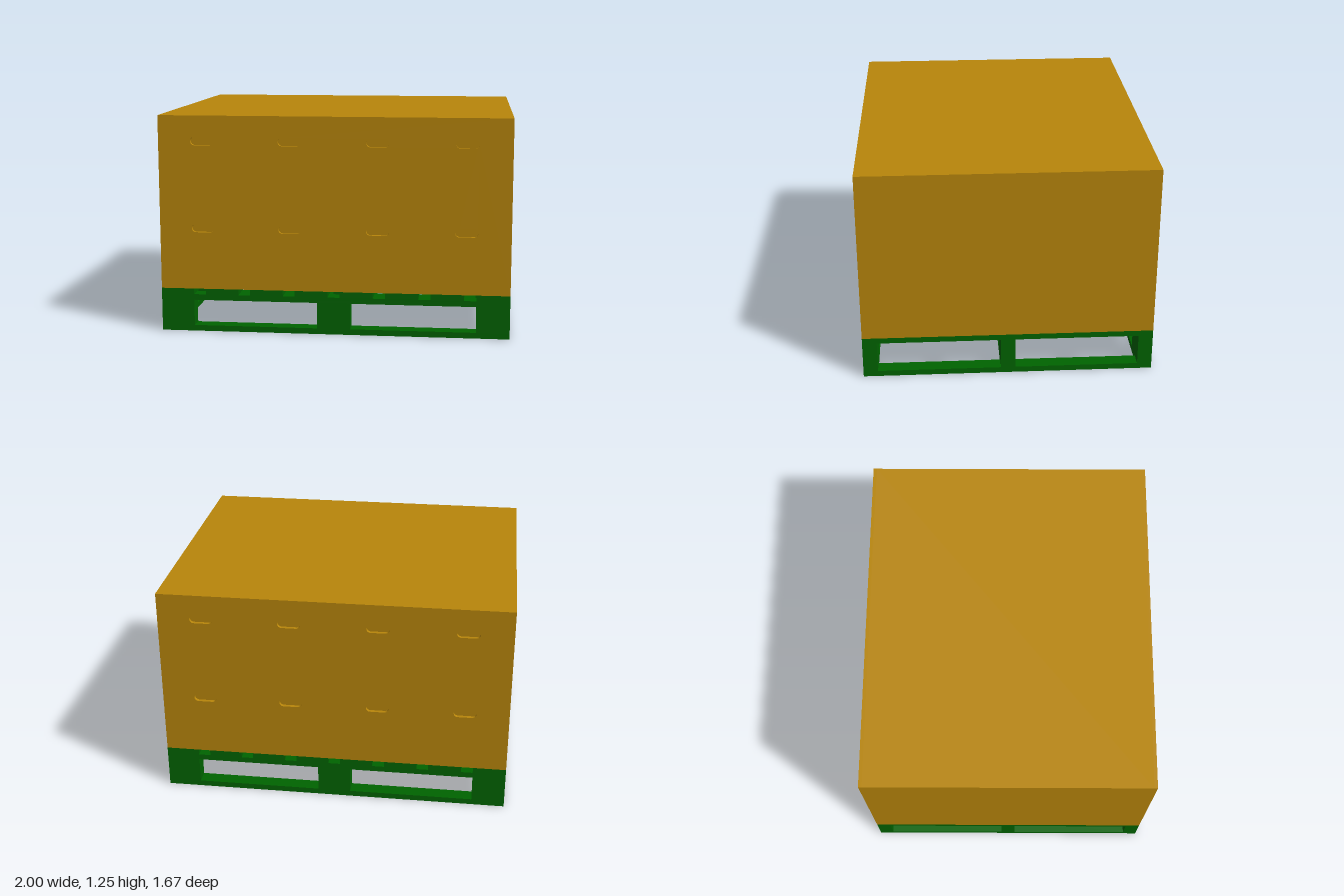
import * as THREE from 'three';

const HALF_X = 1, HALF_Z = 0.833, TOP = 1.25;
const BOARD = 0.0333;         // board thickness
const BLOCK_X = 0.19, BLOCK_Z = 0.083, BLOCK_H = 0.15;
const DECK = 0.25;            // top of the pallet
const RECESS = 0.02;          // depth of the hand slots

const green = new THREE.MeshStandardMaterial({ color: 0x006400 });
const card = new THREE.MeshStandardMaterial({ color: 0xb8860b });

// Box that stands on height y
function addBox(parent, name, material, w, h, d, x, y, z) {
  const mesh = new THREE.Mesh(new THREE.BoxGeometry(w, h, d), material);
  mesh.name = name;
  mesh.position.set(x, y + h / 2, z);
  parent.add(mesh);
}

// Rounded hand slot outline
function slotPath(cx, cy) {
  const hw = 0.065, r = 0.024;
  const path = new THREE.Path();
  path.absarc(cx + hw - r, cy, r, -Math.PI / 2, Math.PI / 2, false);
  path.absarc(cx - hw + r, cy, r, Math.PI / 2, Math.PI * 1.5, false);
  path.closePath();
  return path;
}

function createPallet() {
  const pallet = new THREE.Group();
  pallet.name = 'pallet';
  const rows = [-1, 0, 1].map(i => i * (HALF_Z - BLOCK_Z / 2));
  const columns = [-1, 0, 1].map(i => i * (HALF_X - BLOCK_X / 2));

  for (const z of rows) {
    addBox(pallet, 'bottomBoard', green, 2 * HALF_X, BOARD, BLOCK_Z, 0, 0, z);
    for (const x of columns) {
      addBox(pallet, 'block', green, BLOCK_X, BLOCK_H, BLOCK_Z, x, BOARD, z);
    }
    addBox(pallet, 'stringer', green, 2 * HALF_X, BOARD, BLOCK_Z, 0, BOARD + BLOCK_H, z);
  }

  // Side boards close the bottom frame between the long boards
  const span = HALF_Z - 1.5 * BLOCK_Z;
  for (const sx of [-1, 1]) {
    for (const sz of [-1, 1]) {
      addBox(pallet, 'bottomSideBoard', green, BLOCK_Z, BOARD, span,
        sx * (HALF_X - BLOCK_Z / 2), 0, sz * (BLOCK_Z / 2 + span / 2));
    }
  }

  // Eight deck boards with gaps
  const count = 8, pitch = (2 * HALF_X - BLOCK_X) / (count - 1);
  for (let i = 0; i < count; i++) {
    addBox(pallet, 'deckBoard', green, BLOCK_X, DECK - 2 * BOARD - BLOCK_H, 2 * HALF_Z,
      -HALF_X + BLOCK_X / 2 + i * pitch, 2 * BOARD + BLOCK_H, 0);
  }
  return pallet;
}

function createCarton() {
  const carton = new THREE.Group();
  carton.name = 'carton';
  addBox(carton, 'cartonBody', card, 2 * HALF_X, TOP - DECK, 2 * (HALF_Z - RECESS), 0, DECK, 0);

  // Front and back panels pierced by two rows of hand slots
  const outline = new THREE.Shape([
    new THREE.Vector2(-HALF_X, DECK), new THREE.Vector2(HALF_X, DECK),
    new THREE.Vector2(HALF_X, TOP), new THREE.Vector2(-HALF_X, TOP),
  ]);
  for (const y of [0.605, 1.105]) {
    for (const x of [-0.75, -0.25, 0.25, 0.75]) outline.holes.push(slotPath(x, y));
  }
  const geometry = new THREE.ExtrudeGeometry(outline, {
    depth: RECESS, bevelEnabled: false, curveSegments: 10,
  });
  geometry.translate(0, 0, HALF_Z - RECESS);
  for (const [name, turn] of [['frontPanel', 0], ['backPanel', Math.PI]]) {
    const panel = new THREE.Mesh(geometry, card);
    panel.name = name;
    panel.rotation.y = turn;
    carton.add(panel);
  }
  return carton;
}

export function createModel() {
  const model = new THREE.Group();
  model.name = 'palletWithCarton';
  model.add(createPallet(), createCarton());
  return model;
}
